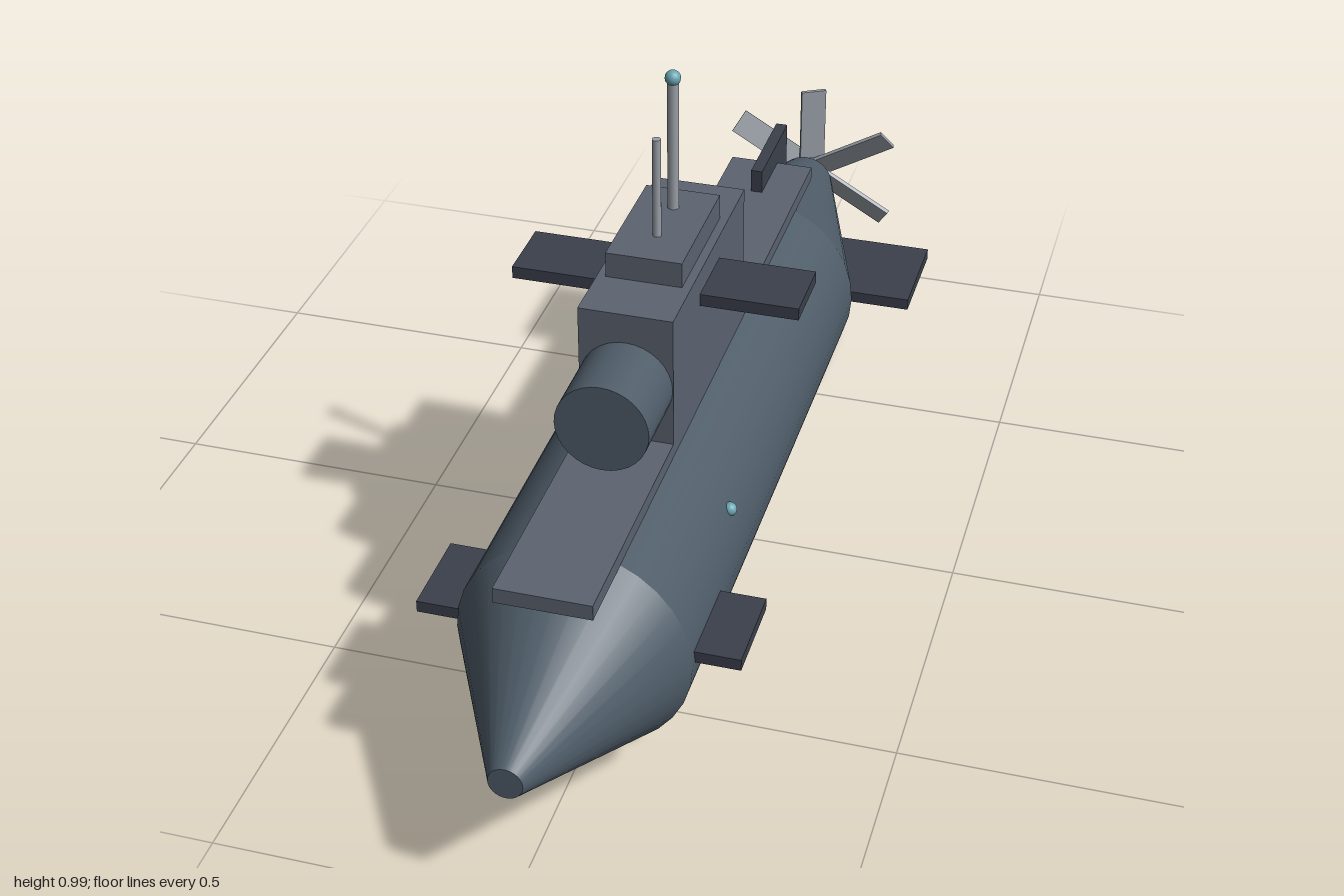
import * as THREE from 'three';

const mat = (color) => new THREE.MeshStandardMaterial({ color });

export function createModel() {
  const model = new THREE.Group();
  const hullMat = mat(0x4f5d69), deckMat = mat(0x5c6370), finMat = mat(0x3b404b);
  const metalMat = mat(0x9aa0a8), glassMat = mat(0x6aa5b3);
  const AXIS = 0.25; // height of the hull's centre line

  const add = (name, geometry, material, x, y, z, parent = model) => {
    const mesh = new THREE.Mesh(geometry, material);
    mesh.name = name;
    mesh.position.set(x, y, z);
    parent.add(mesh);
    return mesh;
  };
  // Box given by its limits on each axis
  const box = (name, material, [x0, x1], [y0, y1], [z0, z1]) =>
    add(name, new THREE.BoxGeometry(x1 - x0, y1 - y0, z1 - z0), material,
      (x0 + x1) / 2, (y0 + y1) / 2, (z0 + z1) / 2);
  // Round section along z, from back z0 (radius r0) to front z1 (radius r1)
  const barrel = (name, material, y, z0, r0, z1, r1, sides = 32) =>
    add(name, new THREE.CylinderGeometry(r1, r0, z1 - z0, sides).rotateX(Math.PI / 2),
      material, 0, y, (z0 + z1) / 2);

  // Pressure hull
  barrel('hull', hullMat, AXIS, -0.475, 0.197, 0.67, 0.197);
  barrel('noseCone', hullMat, AXIS, 0.67, 0.197, 1, 0.028);
  barrel('tailCone', hullMat, AXIS, -0.915, 0.055, -0.475, 0.197);

  // Deck and conning tower
  box('deck', deckMat, [-0.08, 0.08], [0.428, 0.455], [-0.608, 0.808]);
  box('tower', deckMat, [-0.08, 0.08], [0.45, 0.692], [-0.078, 0.37]);
  box('towerCap', deckMat, [-0.065, 0.065], [0.69, 0.737], [0.03, 0.265]);
  barrel('towerDrum', hullMat, 0.56, 0.35, 0.079, 0.505, 0.079);

  // Horizontal planes, each running through from side to side
  box('towerPlanes', finMat, [-0.248, 0.248], [0.627, 0.649], [0.087, 0.21]);
  box('bowPlanes', finMat, [-0.272, 0.272], [0.25, 0.271], [0.495, 0.655]);
  box('sternPlanes', finMat, [-0.306, 0.306], [0.239, 0.261], [-0.685, -0.485]);
  box('rudder', finMat, [-0.011, 0.011], [0, 0.5], [-0.685, -0.485]);

  // Masts
  const mast = (name, r, top, z) =>
    add(name, new THREE.CylinderGeometry(r, r, top - 0.73, 12), metalMat, 0, (top + 0.73) / 2, z);
  mast('periscope', 0.01, 0.975, 0.09);
  mast('antenna', 0.0075, 0.916, 0.187);
  add('periscopeLens', new THREE.SphereGeometry(0.0135, 16, 12), glassMat, 0, 0.979, 0.09);

  // Small lamp on the left flank
  add('sideLamp', new THREE.SphereGeometry(0.012, 16, 12), glassMat, 0.175, 0.338, 0.363);

  // Propeller with six pitched blades
  barrel('propellerCollar', metalMat, AXIS, -0.95, 0.032, -0.91, 0.042, 20);
  barrel('propellerHub', metalMat, AXIS, -1, 0.03, -0.945, 0.03, 20);
  const propeller = new THREE.Group();
  propeller.name = 'propellerBlades';
  propeller.position.set(0, AXIS, -0.967);
  model.add(propeller);
  const bladeGeo = new THREE.BoxGeometry(0.052, 0.17, 0.008).rotateY(0.5).translate(0, 0.1, 0);
  for (let i = 0; i < 6; i++) {
    add('blade', bladeGeo, metalMat, 0, 0, 0, propeller).rotation.z = (i * Math.PI) / 3;
  }

  return model;
}
